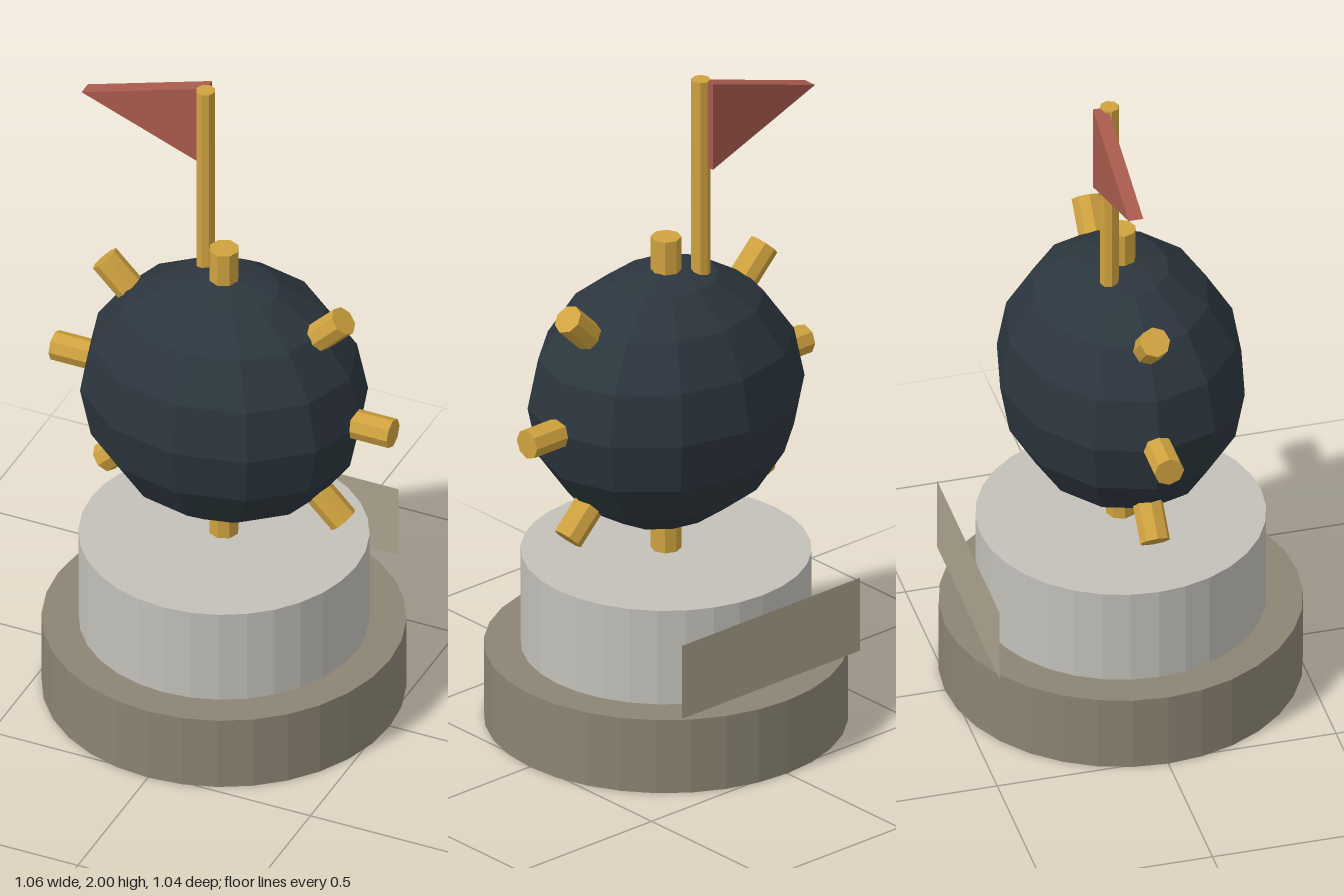
import * as THREE from 'three';

const flat = (name, color, extra = {}) => {
  const m = new THREE.MeshStandardMaterial({ color, flatShading: true, ...extra });
  m.name = name;
  return m;
};

export function createModel() {
  const stone = flat('dark stone', 0x8c8473);
  const marble = flat('pale stone', 0xc2c0b9);
  const gold = flat('gold', 0xcfa23f);
  const iron = flat('dark iron', 0x2c363e);
  const cloth = flat('red cloth', 0xa85a4c);
  const plaque = flat('tan plate', 0xaca28d, { side: THREE.DoubleSide });

  const model = new THREE.Group();
  const add = (name, geometry, material, x, y, z) => {
    const mesh = new THREE.Mesh(geometry, material);
    mesh.name = name;
    mesh.position.set(x, y, z);
    model.add(mesh);
    return mesh;
  };

  // Two-step pedestal
  add('baseStep', new THREE.CylinderGeometry(0.52, 0.52, 0.23, 32), stone, 0, 0.115, 0);
  add('drum', new THREE.CylinderGeometry(0.415, 0.415, 0.295, 32), marble, 0, 0.3775, 0);

  // Thin plate standing behind the drum
  add('backPlate', new THREE.PlaneGeometry(0.68, 0.23), plaque, 0, 0.37, -0.45).rotation.y = Math.PI;

  // Faceted, slightly flattened ball
  const cy = 1.02;
  const ball = new THREE.SphereGeometry(1, 12, 8).scale(0.427, 0.396, 0.356);
  add('ball', ball, iron, 0, cy, 0);

  // Eight spikes in a ring around the ball
  const length = 0.18;
  const spike = new THREE.CylinderGeometry(0.044, 0.044, length, 8).translate(0, -length / 2, 0);
  spike.rotateY(Math.PI / 2);
  for (let i = 0; i < 8; i++) {
    const a = (i * Math.PI) / 4;
    add('spike', spike, gold, 0.53 * Math.sin(a), cy + 0.49 * Math.cos(a), 0).rotation.z = -a;
  }

  // Flagpole and pennant
  add('flagPole', new THREE.CylinderGeometry(0.028, 0.028, 0.7, 8), gold, -0.083, 1.65, -0.056);
  const pennant = new THREE.Shape([
    new THREE.Vector2(-0.085, 1.73),
    new THREE.Vector2(-0.085, 2.0),
    new THREE.Vector2(-0.475, 1.875),
  ]);
  const pennantGeometry = new THREE.ExtrudeGeometry(pennant, { depth: 0.043, bevelEnabled: false });
  add('pennant', pennantGeometry, cloth, 0, 0, -0.105);

  return model;
}
